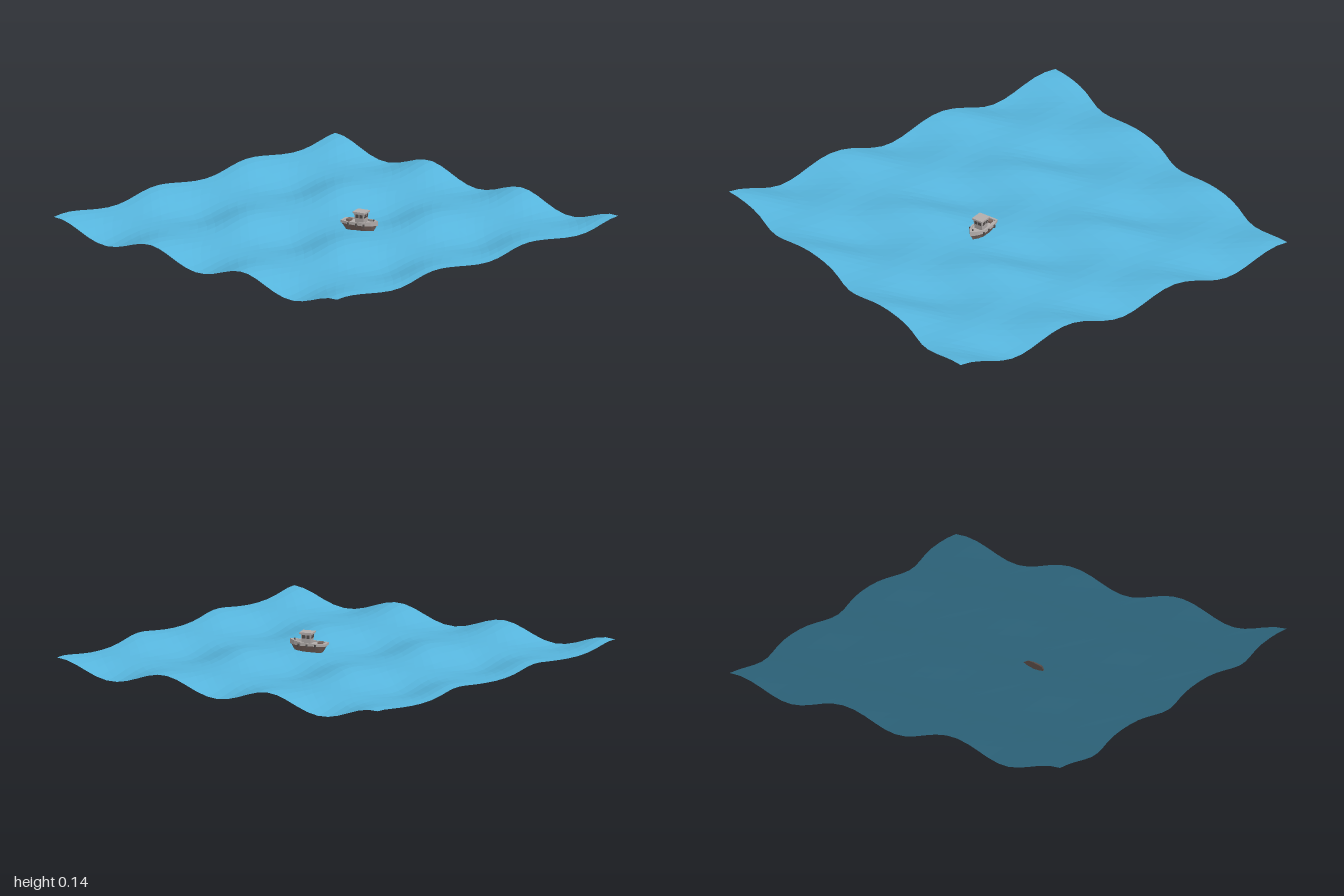
import * as THREE from 'three';

const mat = (name, color, opts = {}) =>
  Object.assign(new THREE.MeshStandardMaterial({ color, flatShading: true, ...opts }), { name });

export function createModel() {
  const model = new THREE.Group();
  model.name = 'boatAtSea';
  const water = mat('water', 0x57b6de, { side: THREE.DoubleSide });
  const paint = mat('greyPaint', 0xb3adab);
  const wood = mat('brownHull', 0x7d6a63);
  const dark = mat('darkTrim', 0x55504e);

  const add = (parent, name, geo, material, x = 0, y = 0, z = 0) => {
    const mesh = new THREE.Mesh(geo, material);
    mesh.name = name;
    mesh.position.set(x, y, z);
    parent.add(mesh);
    return mesh;
  };

  // Sea: sheet of repeating swells, strong between calm lanes, crests skewed
  const sea = new THREE.PlaneGeometry(1.96, 1.96, 32, 32).rotateX(-Math.PI / 2);
  const p = sea.attributes.position;
  const k = (2 * Math.PI) / 0.64;
  for (let i = 0; i < p.count; i++) {
    const x = p.getX(i), z = p.getZ(i);
    const swell = 0.021 - 0.016 * Math.cos(k * x);
    const skew = 0.03 * Math.sin(k * (x + 0.31));
    const y = 0.049 - swell * Math.cos(k * (z + skew)) + 0.003 * Math.sin(k * (x + z));
    const dz = -0.017 * Math.cos(k * (x + 0.18)) - 0.003 * Math.sin(2 * k * (x + 0.18));
    p.setXYZ(i, x + 0.006 * Math.sin(k * z), y, z + dz);
  }
  // Rest the lowest trough on the ground
  sea.computeBoundingBox();
  sea.translate(0, -sea.boundingBox.min.y, 0);
  sea.computeVertexNormals();
  add(model, 'sea', sea, water);

  // Boat, turned slightly to its left
  const boat = new THREE.Group();
  boat.name = 'boat';
  boat.position.set(0.005, 0, 0.158);
  boat.rotation.y = 0.32;
  model.add(boat);

  const outline = (s, Type = THREE.Shape) => new Type([
    [-0.028, -0.092], [0.028, -0.092], [0.04, -0.05], [0.041, 0.03],
    [0.024, 0.07], [0, 0.098], [-0.024, 0.07], [-0.041, 0.03], [-0.04, -0.05],
  ].map(([x, z]) => new THREE.Vector2(x * s, z * s)));
  const slab = (shape, depth) =>
    new THREE.ExtrudeGeometry(shape, { depth, bevelEnabled: false }).rotateX(Math.PI / 2);

  // Hull narrowing to the keel
  const hull = slab(outline(0.97), 0.04);
  const h = hull.attributes.position;
  for (let i = 0; i < h.count; i++) {
    if (h.getY(i) < -0.02) h.setXYZ(i, h.getX(i) * 0.55, h.getY(i), h.getZ(i) * 0.75);
  }
  hull.computeVertexNormals();
  add(boat, 'hull', hull, wood, 0, 0.075, 0);
  add(boat, 'deck', slab(outline(0.9), 0.004), paint, 0, 0.078, 0);

  // Bulwark ring, rising toward the bow
  const ring = outline(1);
  ring.holes.push(outline(0.86, THREE.Path));
  const bulwark = slab(ring, 0.013);
  const b = bulwark.attributes.position;
  for (let i = 0; i < b.count; i++) {
    if (b.getY(i) > -0.006) b.setY(i, b.getY(i) + 0.012 * Math.max(0, b.getZ(i) / 0.098));
  }
  bulwark.computeVertexNormals();
  add(boat, 'bulwark', bulwark, paint, 0, 0.084, 0);

  // Flared wheelhouse with windows and roof
  const cabin = new THREE.CylinderGeometry(0.038, 0.031, 0.05, 4).rotateY(Math.PI / 4);
  add(boat, 'wheelhouse', cabin, paint, 0, 0.103, 0.008);
  add(boat, 'roof', new THREE.BoxGeometry(0.062, 0.008, 0.066), paint, 0, 0.132, 0.008);
  for (let i = 0; i < 4; i++) {
    const side = new THREE.Group();
    side.name = 'windowSide';
    side.position.set(0, 0.114, 0.008);
    side.rotation.y = (i * Math.PI) / 2;
    boat.add(side);
    for (const x of [-0.011, 0.011]) {
      const pane = add(side, 'window', new THREE.BoxGeometry(0.016, 0.017, 0.003), dark, x, 0, 0.0257);
      pane.rotation.x = 0.1;
    }
  }

  // Fenders along both sides, bow post and stern locker
  for (const s of [-1, 1]) {
    for (const z of [-0.045, 0, 0.04]) {
      add(boat, 'fender', new THREE.CylinderGeometry(0.005, 0.005, 0.016, 6), dark, s * 0.042, 0.073, z);
    }
  }
  add(boat, 'bowPost', new THREE.CylinderGeometry(0.004, 0.004, 0.024, 6), dark, 0, 0.088, 0.075);
  add(boat, 'sternLocker', new THREE.BoxGeometry(0.034, 0.012, 0.02), wood, 0, 0.083, -0.058);

  return model;
}
